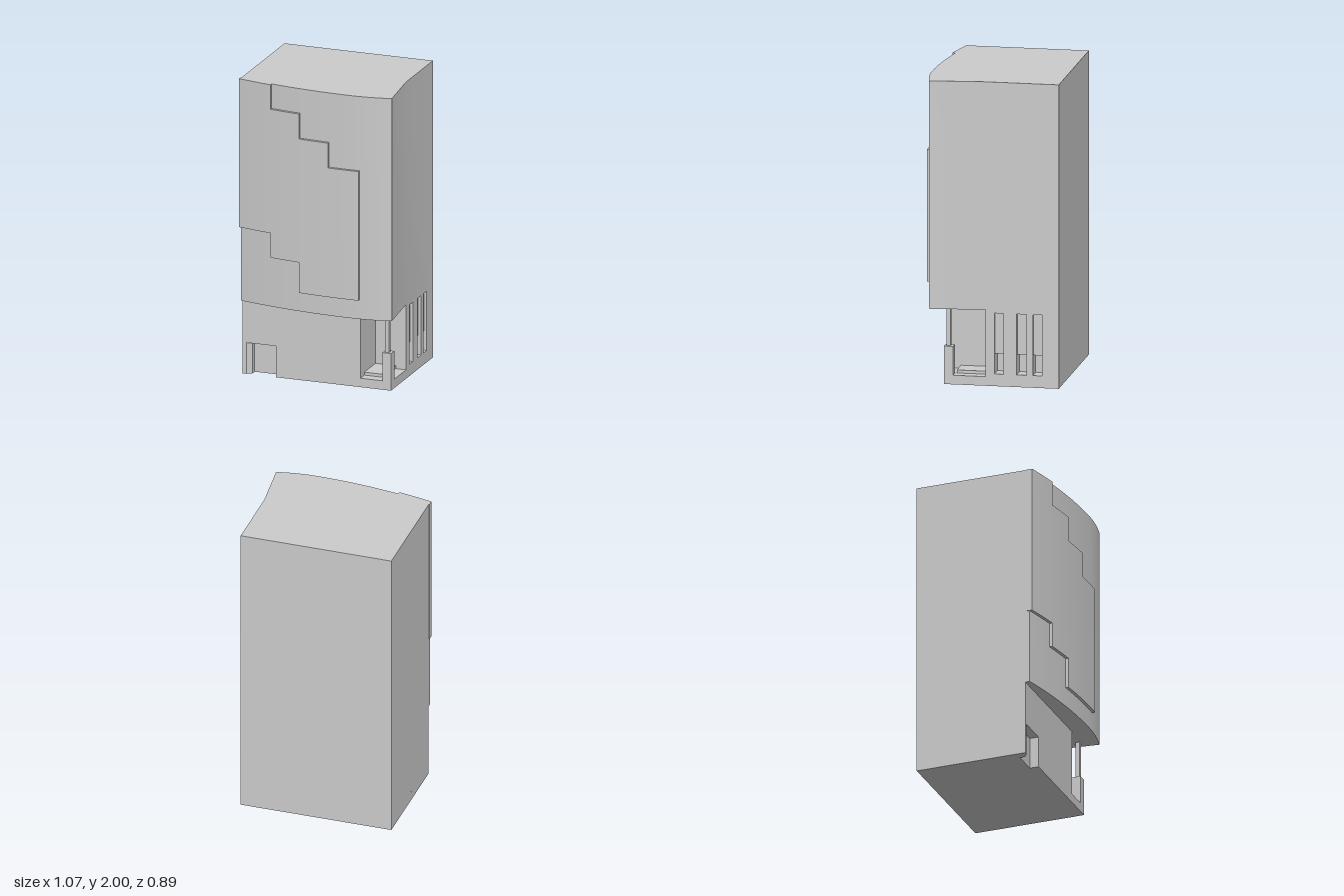
import * as THREE from 'three';
import { toCreasedNormals } from 'three/addons/utils/BufferGeometryUtils.js';

const material = new THREE.MeshStandardMaterial({ color: 0xcccccc });

// Extrudes a plan outline of [x, z] points from height y0 up to y1
function prism(name, plan, y0, y1) {
  const shape = new THREE.Shape(plan.map(([x, z]) => new THREE.Vector2(x, -z)));
  let geo = new THREE.ExtrudeGeometry(shape, { depth: y1 - y0, bevelEnabled: false });
  geo.rotateX(-Math.PI / 2);
  geo.translate(0, y0, 0);
  geo = toCreasedNormals(geo, 0.2);
  const mesh = new THREE.Mesh(geo, material);
  mesh.name = name;
  return mesh;
}

function box(name, x0, x1, y0, y1, z0, z1) {
  return prism(name, [[x0, z0], [x1, z0], [x1, z1], [x0, z1]], y0, y1);
}

// Gently bowed facade
const frontZ = (x) => 0.425 - (x < 0.26 ? 0.152 : 0.48) * (x - 0.26) ** 2;

function facade(x0, x1, steps, offset = 0) {
  return Array.from({ length: steps + 1 }, (_, i) => {
    const x = x0 + ((x1 - x0) * i) / steps;
    return [x, frontZ(x) + offset];
  });
}

// Plan of the ground floor, with optional doorway, open corner and side slots
const slots = [[-0.34, -0.28], [-0.24, -0.175], [-0.09, -0.03]];
function basePlan({ door, corner, slotDepth }) {
  const plan = [[-0.53, -0.45], [0.49, -0.45]];
  if (slotDepth) {
    for (const [a, b] of slots) {
      plan.push([0.49, a], [0.49 - slotDepth, a], [0.49 - slotDepth, b], [0.49, b]);
    }
  }
  if (corner) plan.push([0.49, 0.03], [0.28, 0.03], [0.28, 0.3]);
  else plan.push([0.49, 0.3]);
  if (door) plan.push([-0.3, 0.3], [-0.3, 0.24], [-0.47, 0.24], [-0.47, 0.275], [-0.505, 0.3]);
  plan.push([-0.53, 0.3]);
  return plan;
}

export function createModel() {
  const model = new THREE.Group();
  model.name = 'building';

  // Ground floor in horizontal layers
  const base = new THREE.Group();
  base.name = 'groundFloor';
  const layers = [
    [0, 0.06, { door: true }],
    [0.06, 0.08, { door: true, corner: true }],
    [0.08, 0.21, { door: true, corner: true, slotDepth: 0.1 }],
    [0.21, 0.48, { corner: true, slotDepth: 0.02 }],
    [0.48, 0.5, { corner: true }],
  ];
  layers.forEach(([y0, y1, cuts], i) => base.add(prism('groundFloorLayer' + (i + 1), basePlan(cuts), y0, y1)));

  // Open corner: entrance step, pier and slim column
  base.add(box('entranceStep', 0.28, 0.42, 0.06, 0.08, 0.03, 0.23));
  base.add(box('cornerPier', 0.43, 0.49, 0.06, 0.25, 0.24, 0.3));
  base.add(box('cornerColumn', 0.445, 0.472, 0.25, 0.5, 0.26, 0.288));
  model.add(base);

  // Upper storeys with bowed front and flared right flank
  const upperPlan = [[-0.53, -0.45], [0.49, -0.45], [0.49, 0.03], ...facade(-0.53, 0.53, 24).reverse()];
  model.add(prism('upperStoreys', upperPlan, 0.5, 2));

  // Raised stepped panel on the facade, one column per step
  const panel = new THREE.Group();
  panel.name = 'steppedFacadePanel';
  const columns = [
    [-0.535, -0.302, 1.0, 2.0],
    [-0.302, -0.094, 0.835, 1.835],
    [-0.094, 0.112, 0.63, 1.667],
    [0.112, 0.322, 0.63, 1.5],
  ];
  columns.forEach(([x0, x1, y0, y1], i) => {
    const plan = [...facade(x0, x1, 5, -0.02), ...facade(x0, x1, 5, 0.02).reverse()];
    panel.add(prism('panelColumn' + (i + 1), plan, y0, y1));
  });
  model.add(panel);

  return model;
}
